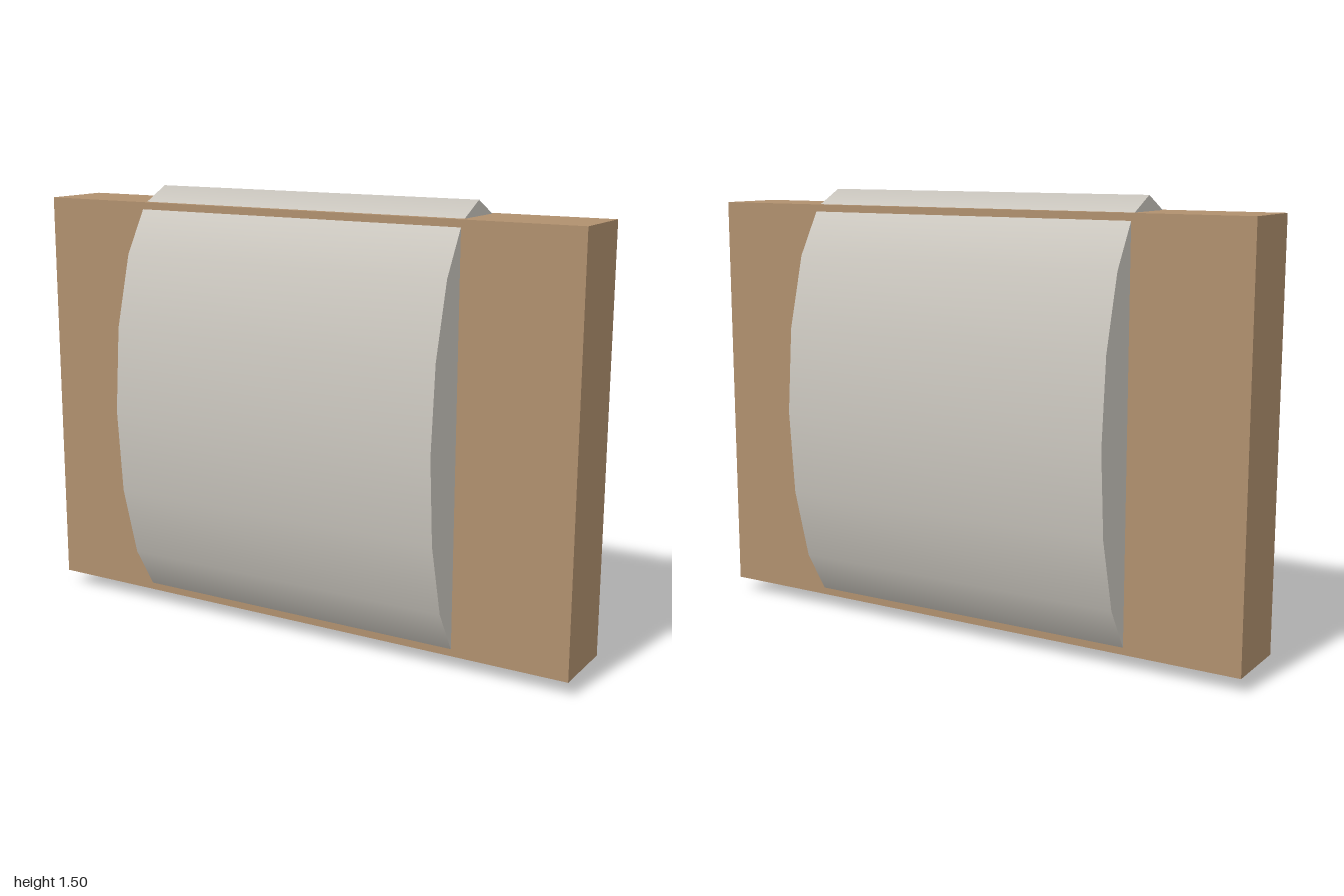
import * as THREE from 'three';

export function createModel() {
  const model = new THREE.Group();
  const wood = new THREE.MeshStandardMaterial({ color: 0xb0906e });
  wood.name = 'tan wood';
  const pale = new THREE.MeshStandardMaterial({ color: 0xcbc7bf });
  pale.name = 'pale grey';

  const add = (name, geometry, material) => {
    const mesh = new THREE.Mesh(geometry, material);
    mesh.name = name;
    mesh.position.y = 0.75;
    model.add(mesh);
  };

  // Upright rectangular slab
  add('slab', new THREE.BoxGeometry(2, 1.4, 0.25), wood);

  // Flattened 16-sided drum lying along x, bulging through the slab
  const drum = new THREE.CylinderGeometry(1, 1, 1.2, 16)
    .rotateZ(Math.PI / 2)
    .scale(1, 0.75, 0.3);
  add('drum', drum, pale);

  return model;
}
